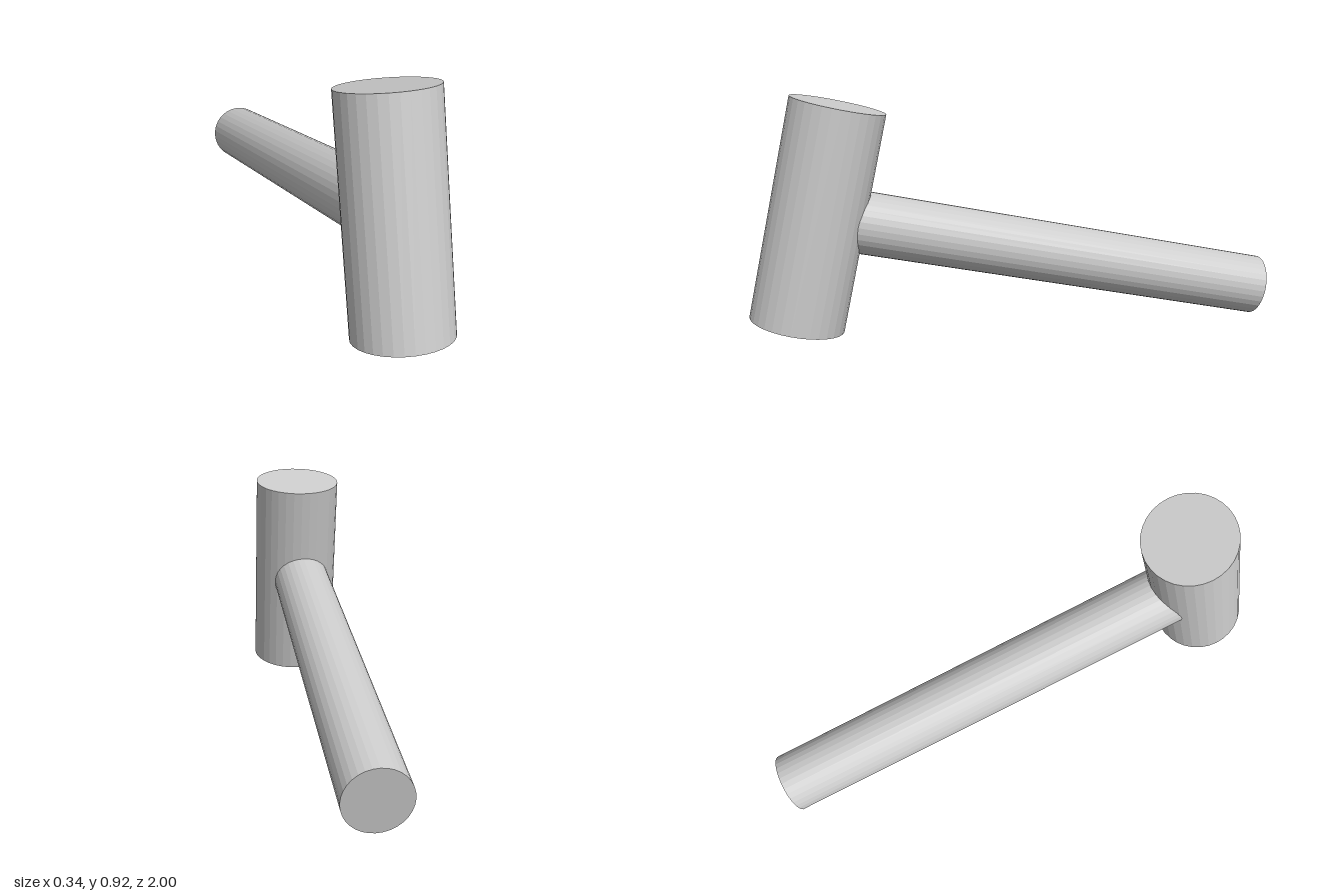
import * as THREE from 'three';

export function createModel() {
  const group = new THREE.Group();
  const material = new THREE.MeshStandardMaterial({ color: 0xcccccc, flatShading: true });

  const addCylinder = (name, radius, length) => {
    const mesh = new THREE.Mesh(new THREE.CylinderGeometry(radius, radius, length, 32), material);
    mesh.name = name;
    hammer.add(mesh);
    return mesh;
  };

  // Hammer resting on the handle's end, tilted back about its head centre
  const hammer = new THREE.Group();
  hammer.name = 'hammer';
  hammer.position.set(0, 0.493, 0.745);
  hammer.rotation.x = -0.217;
  group.add(hammer);

  // Upright head
  addCylinder('head', 0.172, 0.81);

  // Handle running backwards from the head's axis, slightly off centre
  const handleLength = 1.762;
  const handle = addCylinder('handle', 0.115, handleLength);
  handle.rotation.x = Math.PI / 2;
  handle.position.set(-0.012, 0, -handleLength / 2);

  return group;
}
